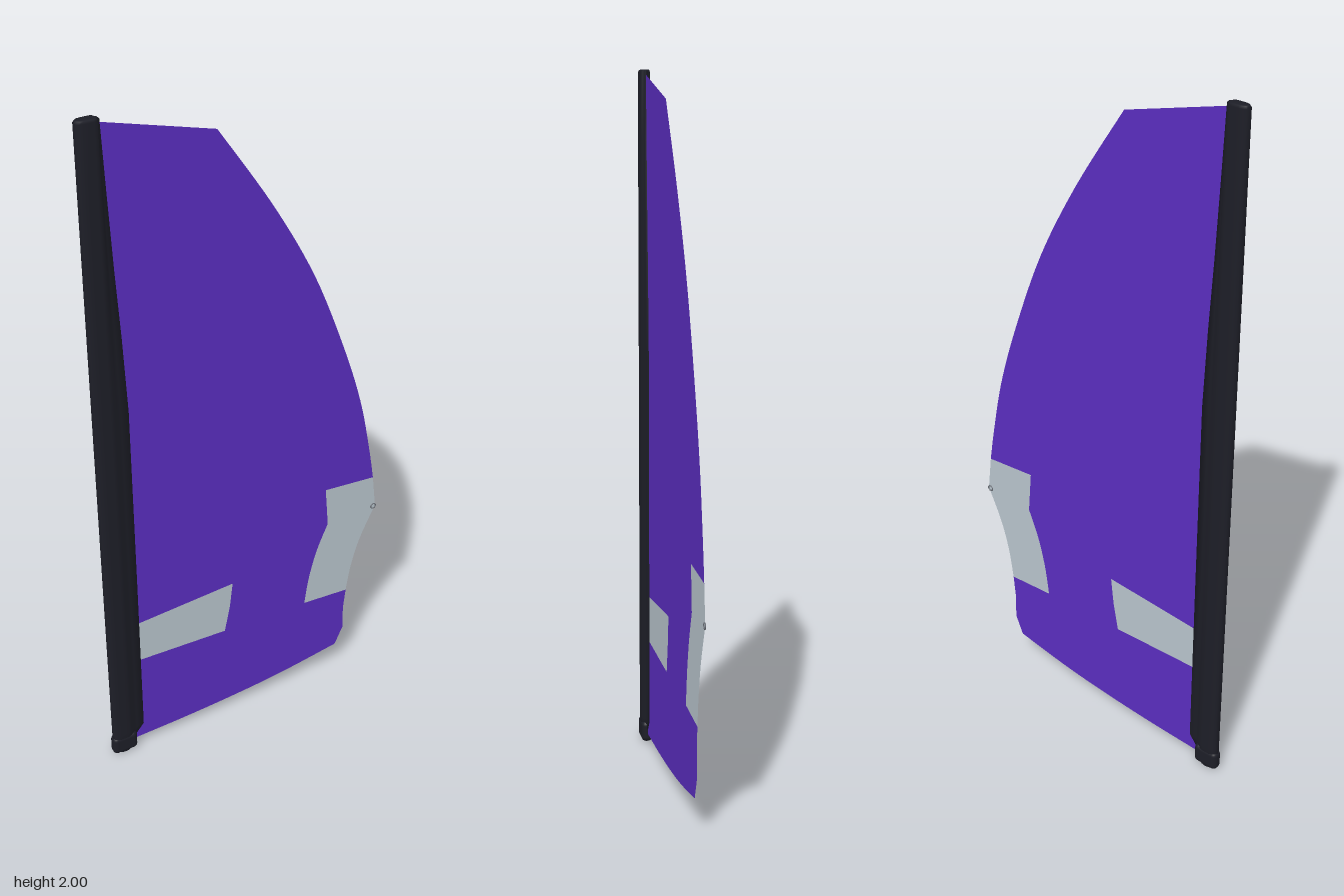
import * as THREE from 'three';
import { mergeVertices } from 'three/addons/utils/BufferGeometryUtils.js';
import { RoundedBoxGeometry } from 'three/addons/geometries/RoundedBoxGeometry.js';

const paint = (name, color, side = THREE.FrontSide) => {
  const m = new THREE.MeshStandardMaterial({ color, side });
  m.name = name;
  return m;
};
const V = (pts) => pts.map(([x, y]) => new THREE.Vector2(x, y));
const curve = (pts, n = 24) => new THREE.SplineCurve(V(pts)).getPoints(n);

// Closed loft of the mast sleeve: rounded nose, body, thin trailing edge
function sleeveGeometry() {
  // height and trailing edge x at each station
  const stations = [[0.03, -0.381], [0.075, -0.345], [0.6, -0.344], [1.18, -0.344],
    [1.4, -0.353], [1.6, -0.364], [1.8, -0.373], [1.994, -0.381], [2, -0.383]];
  const body = [[-0.444, 0.009], [-0.437, 0.0135], [-0.425, 0.0155], [-0.4, 0.0155], [-0.391, 0.0135]];
  const pos = [], idx = [];
  const n = 16;
  stations.forEach(([y, tail], s) => {
    const shrink = s === stations.length - 1 ? 0.85 : 1;
    const reach = tail + 0.391;
    const half = [...body, [-0.391 + reach * 0.25, 0.008], [-0.391 + reach * 0.5, 0.0035]];
    const ring = [[-0.447, 0], ...half, [tail, 0], ...half.slice().reverse().map(([x, z]) => [x, -z])];
    ring.forEach(([x, z]) => pos.push(-0.415 + (x + 0.415) * shrink, y, z * shrink));
  });
  for (let s = 0; s < stations.length - 1; s++) {
    for (let i = 0; i < n; i++) {
      const a = s * n + i, b = s * n + (i + 1) % n;
      idx.push(a, b, b + n, a, b + n, a + n);
    }
  }
  // end caps
  const top = (stations.length - 1) * n;
  for (let i = 1; i < n - 1; i++) {
    idx.push(0, i + 1, i);
    idx.push(top, top + i, top + i + 1);
  }
  const g = new THREE.BufferGeometry();
  g.setAttribute('position', new THREE.Float32BufferAttribute(pos, 3));
  g.setIndex(idx);
  const out = mergeVertices(g);
  out.computeVertexNormals();
  return out;
}

export function createModel() {
  const group = new THREE.Group();
  const purple = paint('purple cloth', 0x5a2dbf, THREE.DoubleSide);
  const clear = paint('pale window film', 0xb8c4cc, THREE.DoubleSide);
  const black = paint('black sleeve', 0x1d1e27);
  const steel = paint('grey eyelet', 0x6b7078);
  const add = (name, geometry, material) => {
    const mesh = new THREE.Mesh(geometry, material);
    mesh.name = name;
    group.add(mesh);
    return mesh;
  };

  // Edges shared by the cloth and the window panels
  const leech = curve([[-0.077, 1.902], [0.082, 1.66], [0.21, 1.425], [0.31, 1.175],
    [0.373, 0.98], [0.41, 0.81], [0.43, 0.695]], 36);
  const clewInner = [...V([[0.267, 0.707]]),
    ...curve([[0.278, 0.58], [0.243, 0.495], [0.218, 0.4], [0.204, 0.307]], 14)];
  const clewOuter = [...curve([[0.352, 0.298], [0.367, 0.39], [0.395, 0.485], [0.443, 0.588]], 14),
    ...V([[0.43, 0.695]])];
  const foot = curve([[0.32, 0.092], [0.1, 0.057], [-0.15, 0.036], [-0.4, 0.027]], 14);
  const luffWindow = V([[-0.37, 0.461], [-0.042, 0.484], [-0.052, 0.4], [-0.069, 0.315], [-0.37, 0.326]]);

  // Sail cloth with an opening for the luff window
  const cloth = new THREE.Shape([...V([[-0.4, 1.99]]), ...leech, ...clewInner,
    ...V([[0.352, 0.298], [0.345, 0.23], [0.346, 0.15]]), ...foot]);
  cloth.holes.push(new THREE.Path(luffWindow));
  add('sailCloth', new THREE.ShapeGeometry(cloth), purple);

  // Window panels, lying flush in the cloth
  add('luffWindow', new THREE.ShapeGeometry(new THREE.Shape(luffWindow)), clear);
  add('clewWindow', new THREE.ShapeGeometry(new THREE.Shape([...clewInner, ...clewOuter])), clear);

  // Clew eyelet
  const eyelet = add('clewEyelet', new THREE.TorusGeometry(0.008, 0.002, 8, 20), steel);
  eyelet.position.set(0.436, 0.588, 0);

  // Mast sleeve and its foot
  add('mastSleeve', sleeveGeometry(), black);
  const base = add('mastFoot', new RoundedBoxGeometry(0.078, 0.062, 0.034, 4, 0.014), black);
  base.position.set(-0.411, 0.034, 0);
  const plug = add('mastPlug', new THREE.CylinderGeometry(0.013, 0.011, 0.012, 20), black);
  plug.scale.x = 2;
  plug.position.set(-0.411, 0.006, 0);

  return group;
}
